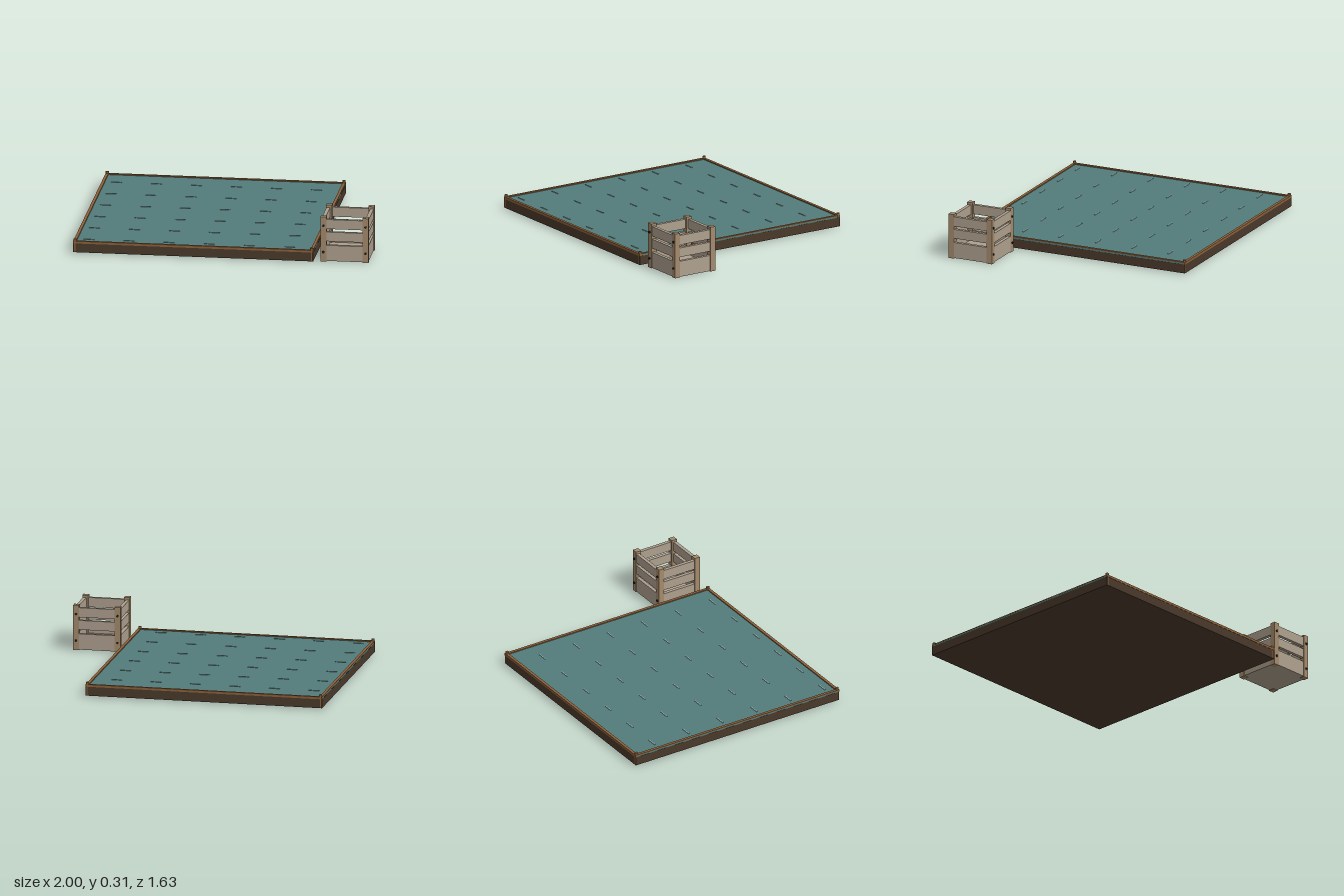
import * as THREE from 'three';

const mat = (name, color) => Object.assign(new THREE.MeshStandardMaterial({ color }), { name });

export function createModel() {
  const root = new THREE.Group();
  root.name = 'poolAndCrate';
  const darkWood = mat('darkWood', 0x4a392b);
  const trimWood = mat('trimWood', 0x8c6039);
  const water = mat('teal', 0x527c7b);
  const foam = mat('paleTeal', 0x8eaaa7);
  const postWood = mat('tanWood', 0xa48a6c);
  const slatWood = mat('greyWood', 0xaea08e);
  const iron = mat('iron', 0x22201e);

  const add = (parent, name, geo, m, x, y, z) => {
    const mesh = new THREE.Mesh(geo, m);
    mesh.name = name;
    mesh.position.set(x, y, z);
    parent.add(mesh);
    return mesh;
  };
  // Box given by its lower and upper height
  const slab = (parent, name, m, w, d, y0, y1, x = 0, z = 0) =>
    add(parent, name, new THREE.BoxGeometry(w, y1 - y0, d), m, x, (y0 + y1) / 2, z);

  // Low square platform
  const platform = new THREE.Group();
  platform.name = 'platform';
  platform.position.x = -0.185;
  root.add(platform);
  const H = 0.815;
  slab(platform, 'base', darkWood, 2 * H, 2 * H - 0.004, 0.008, 0.07);
  slab(platform, 'surface', water, 2 * H - 0.002, 2 * H - 0.004, 0.07, 0.079);
  for (const s of [-1, 1]) {
    slab(platform, 'endTrim', trimWood, 2 * H, 0.02, 0.07, 0.086, 0, s * (H - 0.01));
    slab(platform, 'sideTrim', trimWood, 0.02, 2 * H - 0.04, 0.079, 0.086, s * (H - 0.01), 0);
    for (const t of [-1, 1]) {
      add(platform, 'cornerPeg', new THREE.CylinderGeometry(0.011, 0.011, 0.09, 8), trimWood,
        s * (H - 0.0115), 0.055, t * (H - 0.0115));
    }
  }

  // Six rows of short dashes on the surface
  const dash = new THREE.BoxGeometry(0.073, 0.003, 0.008);
  for (let i = 0; i < 6; i++) {
    for (let j = 0; j < 6; j++) {
      add(platform, 'surfaceDash', dash, foam, -0.717 + i * 0.272, 0.0805, -0.622 + j * 0.272);
    }
  }

  // Open slatted crate
  const crate = new THREE.Group();
  crate.name = 'crate';
  crate.position.set(0.837, 0, 0.613);
  root.add(crate);
  const C = 0.163, P = 0.04;
  slab(crate, 'crateFloor', slatWood, 2 * C - 0.006, 2 * C - 0.006, 0.004, 0.048);
  for (const s of [-1, 1]) {
    for (const t of [-1, 1]) {
      slab(crate, 'cornerPost', postWood, P, P, 0, 0.311, s * (C - P / 2), t * (C - P / 2));
      for (const y of [0.065, 0.25]) {
        const bolt = add(crate, 'bolt', new THREE.CylinderGeometry(0.008, 0.008, 0.008, 10), iron,
          s * (C - P / 2), y, t * (C + 0.002));
        bolt.rotation.x = Math.PI / 2;
      }
    }
    for (const [y0, y1] of [[0.048, 0.113], [0.142, 0.206], [0.228, 0.294]]) {
      slab(crate, 'slat', slatWood, 2 * (C - P) + 0.01, 0.024, y0, y1, 0, s * (C - 0.015));
      slab(crate, 'slat', slatWood, 0.024, 2 * (C - P) + 0.01, y0, y1, s * (C - 0.015), 0);
    }
  }
  return root;
}
